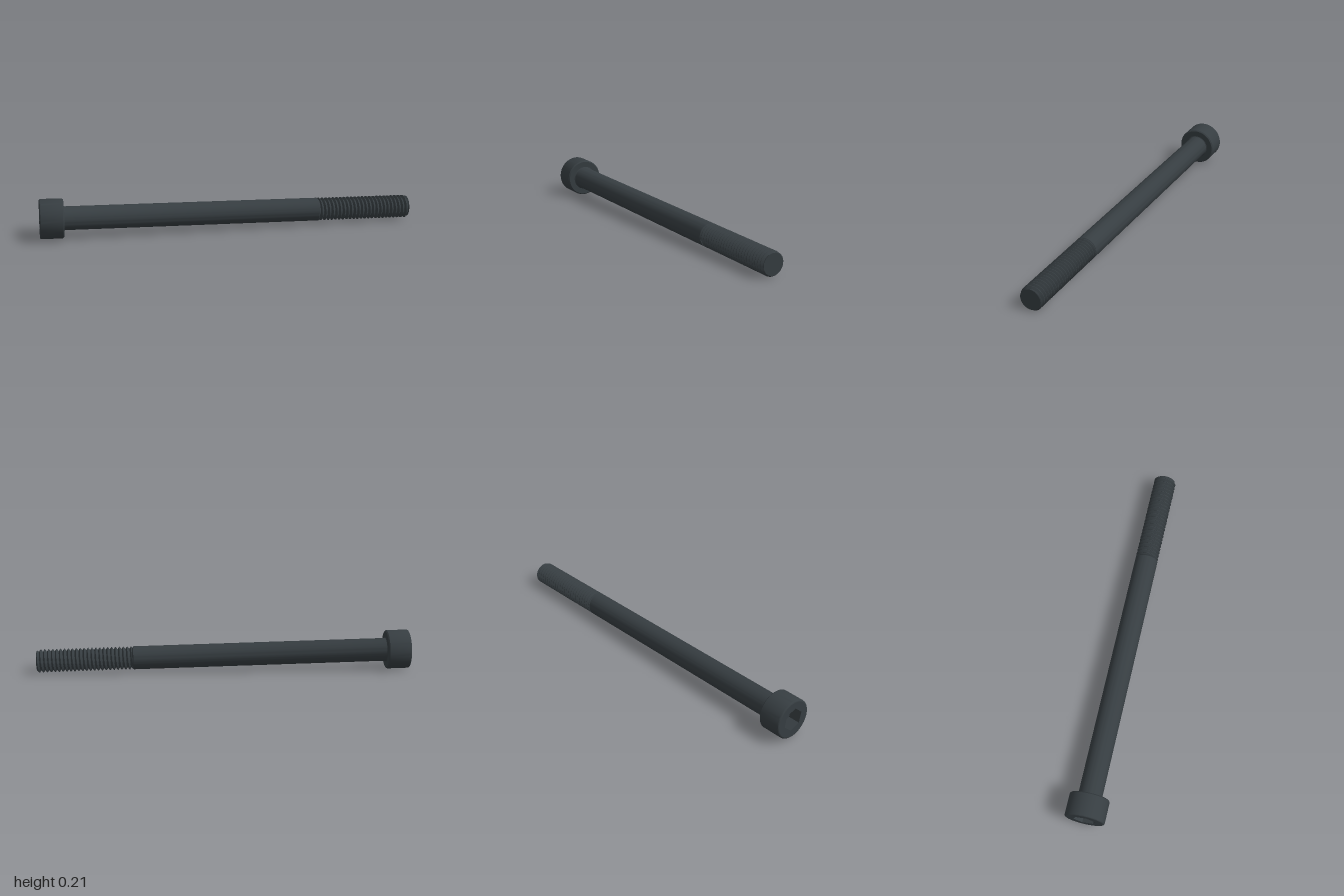
import * as THREE from 'three';
import { toCreasedNormals } from 'three/addons/utils/BufferGeometryUtils.js';

const SEG = 64;
const HEAD_R = 0.1045, HEAD_LEN = 0.124, SHAFT_R = 0.0622;
const ROOT_R = 0.0505, TIP_R = 0.055, PITCH = 0.021;
const HEX_R = 0.0605, HEX_DEPTH = 0.063;
const THREAD_START = 1.5;

// Smooth lathe around y with creased edges
function lathe(points) {
  const geo = new THREE.LatheGeometry(points.map(([r, y]) => new THREE.Vector2(r, y)), SEG);
  return toCreasedNormals(geo, 0.6);
}

// Helical ridge: rows of vertices climb one pitch per turn, clamped to both ends
function threadGeometry(start, end) {
  const profile = [[0, ROOT_R], [0.12, ROOT_R], [0.5, SHAFT_R], [0.62, SHAFT_R]];
  const turns = Math.ceil((end - start) / PITCH) + 1;
  const rows = turns * profile.length + 1;
  const pos = [], index = [];
  for (let j = 0; j < rows; j++) {
    const [offset, radius] = profile[j % profile.length];
    for (let i = 0; i <= SEG; i++) {
      const u = i / SEG, a = u * Math.PI * 2;
      const raw = start + PITCH * (Math.floor(j / profile.length) + offset + u - 1);
      const y = THREE.MathUtils.clamp(raw, start, end);
      const r = Math.min(radius, TIP_R + (end - y)); // chamfered tip
      pos.push(r * Math.sin(a), y, r * Math.cos(a));
      if (j < rows - 1 && i < SEG) {
        const p = j * (SEG + 1) + i, q = p + SEG + 1;
        index.push(p, p + 1, q, q, p + 1, q + 1);
      }
    }
  }
  const geo = new THREE.BufferGeometry();
  geo.setAttribute('position', new THREE.Float32BufferAttribute(pos, 3));
  geo.setIndex(index);
  return toCreasedNormals(geo, 0.5);
}

export function createModel() {
  const steel = new THREE.MeshStandardMaterial({ color: 0x363d41, side: THREE.DoubleSide });
  steel.name = 'blackened steel';

  const headCentre = new THREE.Vector3(-0.978, 0.108, -0.188);
  const tipCentre = new THREE.Vector3(0.988, 0.064, 0.232);
  const axis = tipCentre.clone().sub(headCentre);
  const length = axis.length();

  // The screw is built along +y from the head face, then laid down
  const screw = new THREE.Group();
  screw.name = 'screw';
  const add = (name, geo) => {
    const mesh = new THREE.Mesh(geo, steel);
    mesh.name = name;
    screw.add(mesh);
    return mesh;
  };

  // Head side with rounded outer rim and chamfered underside
  const faceR = HEAD_R - 0.009;
  const rim = [];
  for (let i = 0; i <= 5; i++) {
    const a = (i / 5) * Math.PI / 2;
    rim.push([faceR + 0.009 * Math.sin(a), 0.009 * (1 - Math.cos(a))]);
  }
  add('head', lathe([...rim, [HEAD_R, HEAD_LEN - 0.006],
    [HEAD_R - 0.006, HEAD_LEN], [SHAFT_R - 0.005, HEAD_LEN]]));

  // Head face with the hexagonal opening
  const face = new THREE.Shape().absarc(0, 0, faceR, 0, Math.PI * 2, false);
  const hex = [];
  for (let i = 0; i < 6; i++) {
    const a = i * Math.PI / 3;
    hex.push(new THREE.Vector2(HEX_R * Math.cos(a), HEX_R * Math.sin(a)));
  }
  face.holes.push(new THREE.Path(hex));
  add('headFace', new THREE.ShapeGeometry(face, SEG / 2).rotateX(Math.PI / 2));

  // Socket walls and floor
  const walls = new THREE.CylinderGeometry(HEX_R, HEX_R, HEX_DEPTH, 6, 1, true, Math.PI / 6);
  add('socketWalls', toCreasedNormals(walls, 0.5)).position.y = HEX_DEPTH / 2;
  add('socketFloor', new THREE.ShapeGeometry(new THREE.Shape(hex)).rotateX(Math.PI / 2))
    .position.y = HEX_DEPTH;

  // Plain shank with a small fillet under the head
  add('shank', lathe([[SHAFT_R + 0.005, HEAD_LEN], [SHAFT_R + 0.0015, HEAD_LEN + 0.0025],
    [SHAFT_R, HEAD_LEN + 0.007], [SHAFT_R, THREAD_START - 0.006],
    [ROOT_R, THREAD_START + 0.004], [0, THREAD_START + 0.004]]));

  // Threaded end and flat tip
  add('thread', threadGeometry(THREAD_START, length));
  add('tip', new THREE.CircleGeometry(TIP_R, SEG).rotateX(-Math.PI / 2)).position.y = length;

  screw.position.copy(headCentre);
  screw.quaternion.setFromUnitVectors(new THREE.Vector3(0, 1, 0), axis.normalize());

  const model = new THREE.Group();
  model.name = 'socketHeadScrew';
  model.add(screw);
  return model;
}
